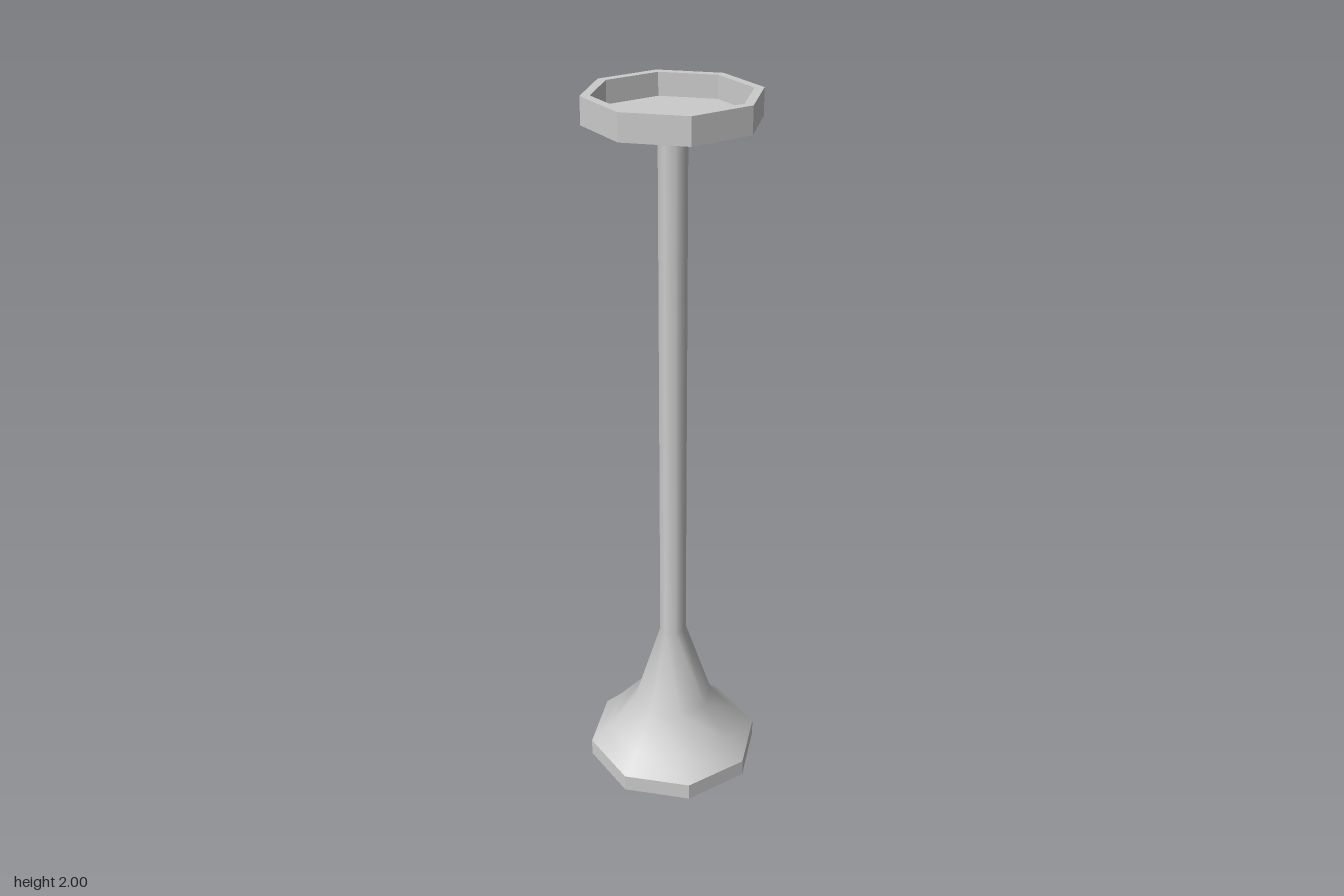
import * as THREE from 'three';

const SIDES = 8;
const flat = new THREE.MeshStandardMaterial({ color: 0xcccccc, flatShading: true });
const smooth = new THREE.MeshStandardMaterial({ color: 0xcccccc });

// Eight-sided turned part from [radius, height] pairs, bottom to top
function turned(name, profile, material) {
  const points = profile.map(([r, y]) => new THREE.Vector2(r, y));
  const mesh = new THREE.Mesh(new THREE.LatheGeometry(points, SIDES), material);
  mesh.name = name;
  return mesh;
}

export function createModel() {
  const model = new THREE.Group();
  model.name = 'pedestalStand';

  // Foot plate with a closed underside
  model.add(turned('footPlate', [[0, 0], [0.25, 0], [0.25, 0.05]], flat));

  // Flared base running smoothly into the slim pole
  model.add(turned('flaredPole', [
    [0.25, 0.05], [0.195, 0.105], [0.115, 0.2], [0.038, 0.44], [0.038, 1.91],
  ], smooth));

  // Small collar under the tray
  model.add(turned('collar', [[0.038, 1.905], [0.09, 1.93]], flat));

  // Shallow tray with a raised rim
  model.add(turned('tray', [
    [0, 1.93], [0.225, 1.93], [0.225, 2], [0.2, 2], [0.2, 1.94], [0, 1.94],
  ], flat));

  return model;
}
